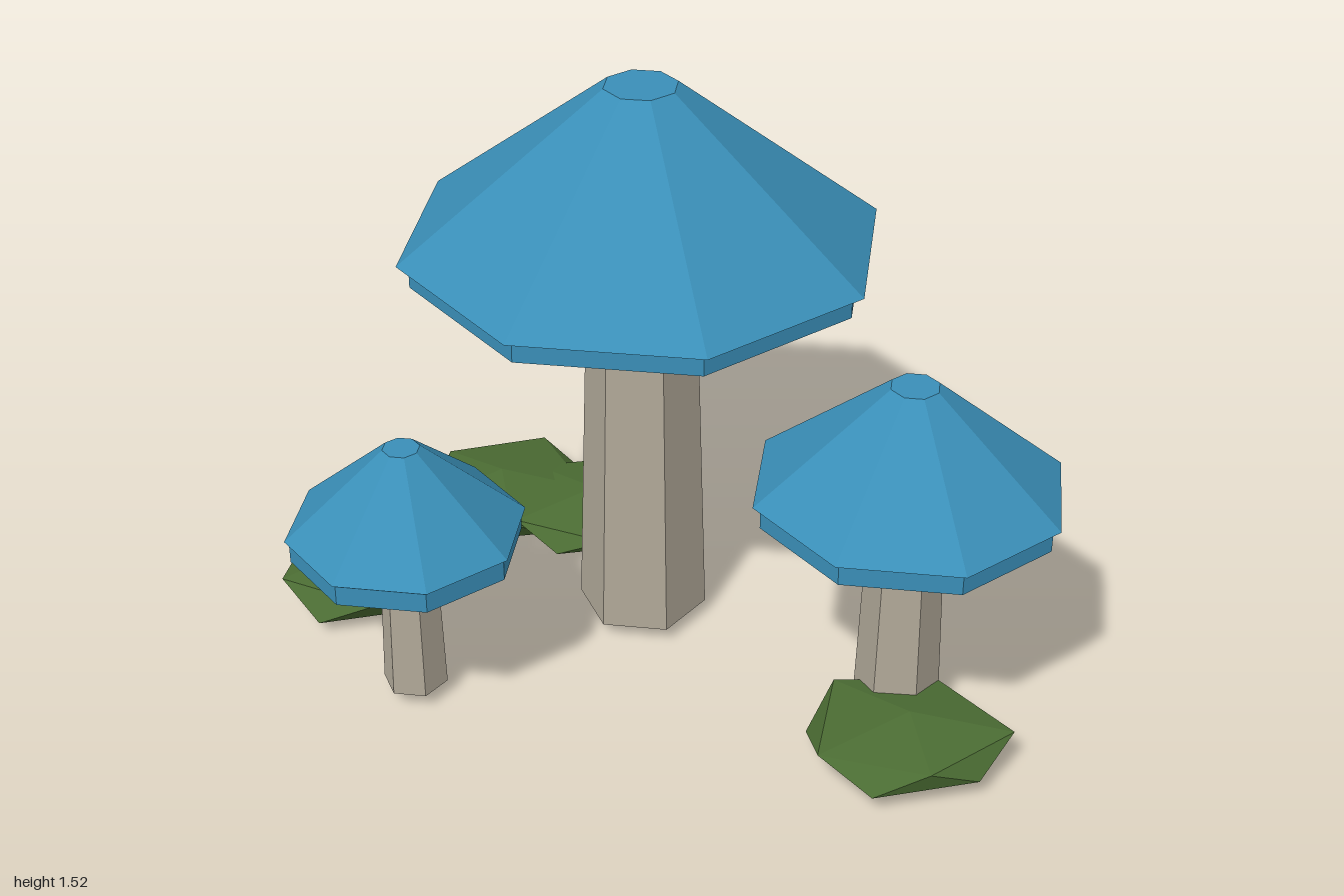
import * as THREE from 'three';

const mat = (color) => new THREE.MeshStandardMaterial({ color, flatShading: true, side: THREE.FrontSide });

// Tapered prism standing between two heights
function prism(name, rTop, rBottom, y0, y1, sides, turn, material) {
  const geo = new THREE.CylinderGeometry(rTop, rBottom, y1 - y0, sides, 1, false, turn);
  const mesh = new THREE.Mesh(geo, material);
  mesh.name = name;
  mesh.position.y = (y0 + y1) / 2;
  return mesh;
}

// Octagonal cap with an inset rim on a hexagonal stem
function mushroom(name, { x, z, stem, cap, rim, capY, topY }, stemMat, capMat) {
  const g = new THREE.Group();
  g.name = name;
  const rimY = capY - 0.06;
  g.add(
    prism('stem', stem[1], stem[0], 0.045, rimY + 0.01, 6, Math.PI / 6, stemMat),
    prism('capRim', rim, rim, rimY, capY, 8, Math.PI / 8, capMat),
    prism('cap', cap[1], cap[0], capY, topY, 8, Math.PI / 8, capMat)
  );
  g.position.set(x, 0, z);
  return g;
}

// Flattened, slightly irregular twenty-sided bush: two poles and two staggered rings
function bush(name, { x, y, z, h, radii }, material) {
  const ring = radii.map((r, i) => {
    const a = (i * Math.PI) / 5;
    return [Math.cos(a) * r, (i % 2 ? -0.447 : 0.447) * h, Math.sin(a) * r];
  });
  const top = [0, h, 0], bottom = [0, -h, 0], pos = [];
  for (let i = 0; i < 10; i++) {
    const a = ring[i], b = ring[(i + 1) % 10], c = ring[(i + 2) % 10];
    if (i % 2 === 0) pos.push(...a, ...c, ...b, ...a, ...top, ...c);
    else pos.push(...a, ...b, ...c, ...a, ...c, ...bottom);
  }
  const geo = new THREE.BufferGeometry();
  geo.setAttribute('position', new THREE.Float32BufferAttribute(pos, 3));
  geo.computeVertexNormals();
  const mesh = new THREE.Mesh(geo, material);
  mesh.name = name;
  mesh.position.set(x, y, z);
  return mesh;
}

export function createModel() {
  const model = new THREE.Group();
  model.name = 'mushroomCluster';
  const stemMat = mat(0xb0a898), capMat = mat(0x3a8fb8), leafMat = mat(0x4b6c33);

  // Mushrooms: stem and cap radii are [bottom, top]
  const mushrooms = {
    largeMushroom: { x: -0.053, z: -0.062, stem: [0.167, 0.136], cap: [0.604, 0.092], rim: 0.574, capY: 1.122, topY: 1.526 },
    mediumMushroom: { x: 0.638, z: 0.284, stem: [0.107, 0.09], cap: [0.387, 0.06], rim: 0.368, capY: 0.69, topY: 0.965 },
    smallMushroom: { x: -0.573, z: 0.368, stem: [0.082, 0.07], cap: [0.297, 0.046], rim: 0.286, capY: 0.517, topY: 0.74 },
  };
  for (const [name, m] of Object.entries(mushrooms)) model.add(mushroom(name, m, stemMat, capMat));

  // Bushes: radii run around the bush in steps of 36 degrees, from +x towards +z
  const bushes = {
    leftBush: { x: -0.8, y: 0.074, z: -0.06, h: 0.072, radii: [0.24, 0.23, 0.24, 0.25, 0.245, 0.2, 0.22, 0.22, 0.24, 0.26] },
    backBush: { x: -0.51, y: 0.08, z: -0.45, h: 0.072, radii: [0.24, 0.23, 0.23, 0.23, 0.235, 0.215, 0.218, 0.23, 0.25, 0.27] },
    backInnerBush: { x: -0.24, y: 0.088, z: -0.4, h: 0.06, radii: [0.24, 0.22, 0.22, 0.22, 0.24, 0.22, 0.23, 0.22, 0.23, 0.24] },
    rightBush: { x: 0.678, y: 0.088, z: 0.46, h: 0.063, radii: [0.255, 0.22, 0.2, 0.236, 0.26, 0.25, 0.24, 0.19, 0.19, 0.22] },
  };
  for (const [name, b] of Object.entries(bushes)) model.add(bush(name, b, leafMat));

  return model;
}
